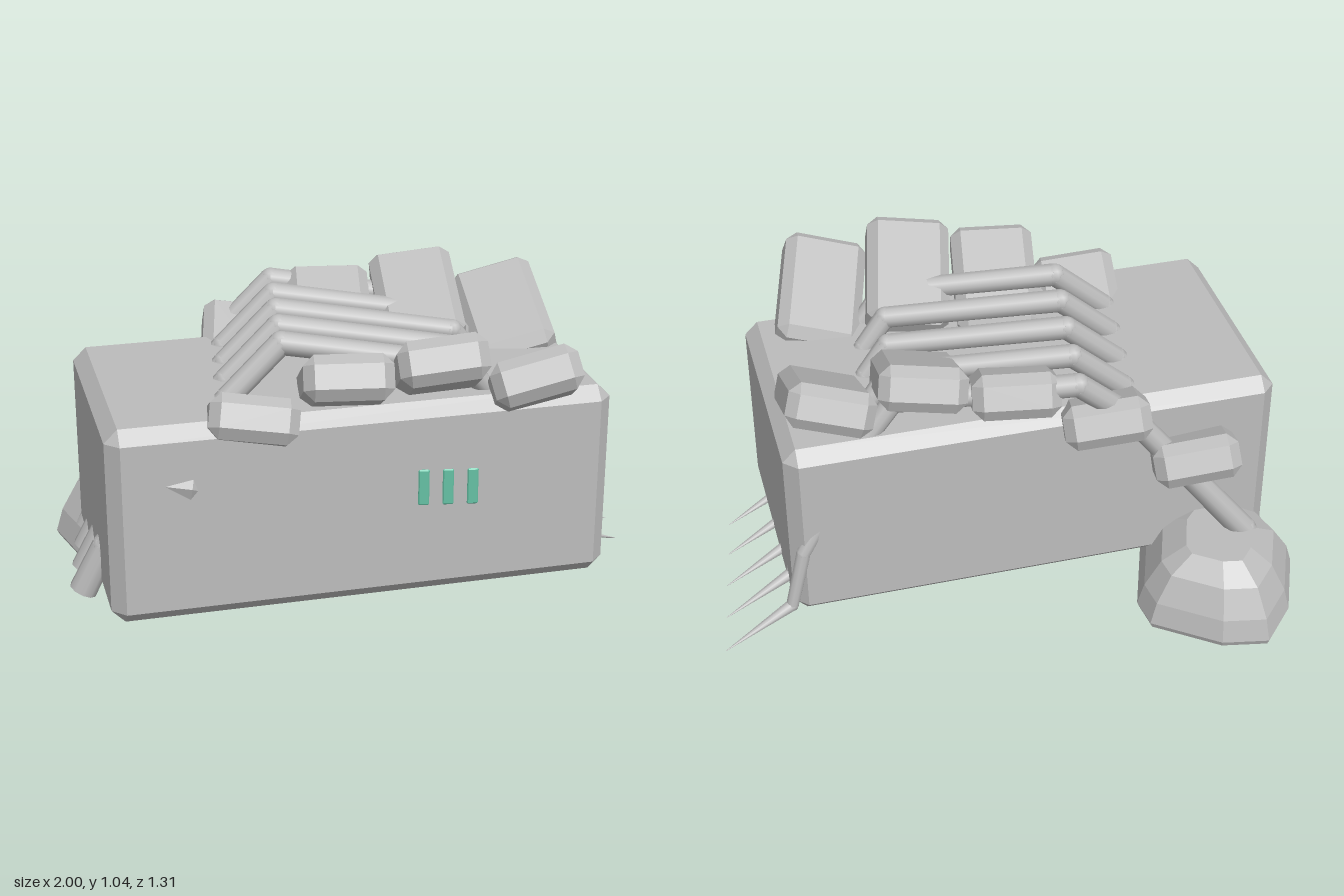
import * as THREE from 'three';
import { ConvexGeometry } from 'three/addons/geometries/ConvexGeometry.js';

const V = (x, y, z) => new THREE.Vector3(x, y, z);

// Box with every edge and corner cut off by b
function chamferBox(w, h, d, b) {
  const pts = [];
  for (const i of [-1, 1]) for (const j of [-1, 1]) for (const k of [-1, 1]) {
    const x = w / 2, y = h / 2, z = d / 2;
    pts.push(V(i * x, j * (y - b), k * (z - b)));
    pts.push(V(i * (x - b), j * y, k * (z - b)));
    pts.push(V(i * (x - b), j * (y - b), k * z));
  }
  return new ConvexGeometry(pts);
}

export function createModel() {
  const model = new THREE.Group();
  const grey = new THREE.MeshStandardMaterial({ color: 0xbcbcbc });
  grey.name = 'bodyGrey';
  const teal = new THREE.MeshStandardMaterial({ color: 0x66c2a5 });
  teal.name = 'ventTeal';

  const add = (name, geometry, material = grey, parent = model) => {
    const mesh = new THREE.Mesh(geometry, material);
    mesh.name = name;
    parent.add(mesh);
    return mesh;
  };

  // Main block, turned slightly about the vertical
  const body = add('body', chamferBox(1.69, 0.68, 0.85, 0.045));
  body.position.set(-0.005, 0.43, 0.1);
  body.rotation.y = 0.165;

  // Two fanned rows of pads, rising towards their outer ends
  const heights = [0.52, 0.70, 0.83, 0.88, 0.82];
  const rolls = [-0.16, -0.13, 0, 0.12, 0.27];
  const padGeometry = chamferBox(0.29, 0.15, 0.43, 0.035);
  heights.forEach((y, i) => {
    for (const side of [1, -1]) {
      const pad = add(side > 0 ? 'frontPad' : 'rearPad', padGeometry);
      pad.position.set(-0.62 + i * 0.31, y, 0.1 + side * 0.318);
      pad.rotation.set(-side * 0.47, 0, rolls[i], 'ZXY');
    }
  });

  // Five parallel bent limbs: claw at one end, spike at the other [x, y, z offset, radius]
  const path = [
    [-0.88, 0.08, 0.05, 0.048], [-0.80, 0.24, 0.045, 0.045], [-0.38, 0.76, 0.05, 0.04],
    [-0.20, 0.93, 0, 0.04], [0.40, 0.86, 0.06, 0.037], [0.48, 0.76, 0.03, 0.034],
    [0.72, 0.36, -0.08, 0.025], [0.77, 0.16, -0.11, 0.022], [1.0, 0.07, -0.22, 0.001],
  ];
  const up = V(0, 1, 0);
  for (let n = 0; n < 5; n++) {
    const limb = new THREE.Group();
    limb.name = 'limb';
    limb.position.z = 0.3 - n * 0.165;
    model.add(limb);
    for (let i = 0; i < path.length - 1; i++) {
      const [x0, y0, z0, r0] = path[i];
      const [x1, y1, z1, r1] = path[i + 1];
      const a = V(x0, y0, z0), dir = V(x1, y1, z1).sub(a);
      const seg = add('limbSegment', new THREE.CylinderGeometry(r1, r0, dir.length(), 10), grey, limb);
      seg.position.copy(a).addScaledVector(dir, 0.5);
      seg.quaternion.setFromUnitVectors(up, dir.clone().normalize());
      if (i > 0) add('limbJoint', new THREE.SphereGeometry(r0, 10, 8), grey, limb).position.copy(a);
    }
  }

  // Faceted foot, built from shrinking copies of one outline
  const outline = [
    [-1, -0.25], [-0.94, -0.5], [-0.84, -0.655], [-0.68, -0.65], [-0.45, -0.53],
    [-0.42, -0.42], [-0.48, -0.1], [-0.6, 0.07], [-0.78, 0.08], [-0.9, -0.02],
  ];
  const footPoints = [];
  for (const [scale, y] of [[0.97, 0], [1, 0.02], [0.92, 0.1], [0.72, 0.2], [0.42, 0.26]]) {
    for (const [x, z] of outline) {
      footPoints.push(V(-0.7 + (x + 0.7) * scale, y, -0.4 + (z + 0.4) * scale));
    }
  }
  add('foot', new ConvexGeometry(footPoints));

  // Three upright vent strips in front of the block
  for (const x of [0.243, 0.322, 0.402]) {
    add('ventStrip', chamferBox(0.036, 0.125, 0.009, 0.004), teal).position.set(x, 0.523, 0.579);
  }
  return model;
}
